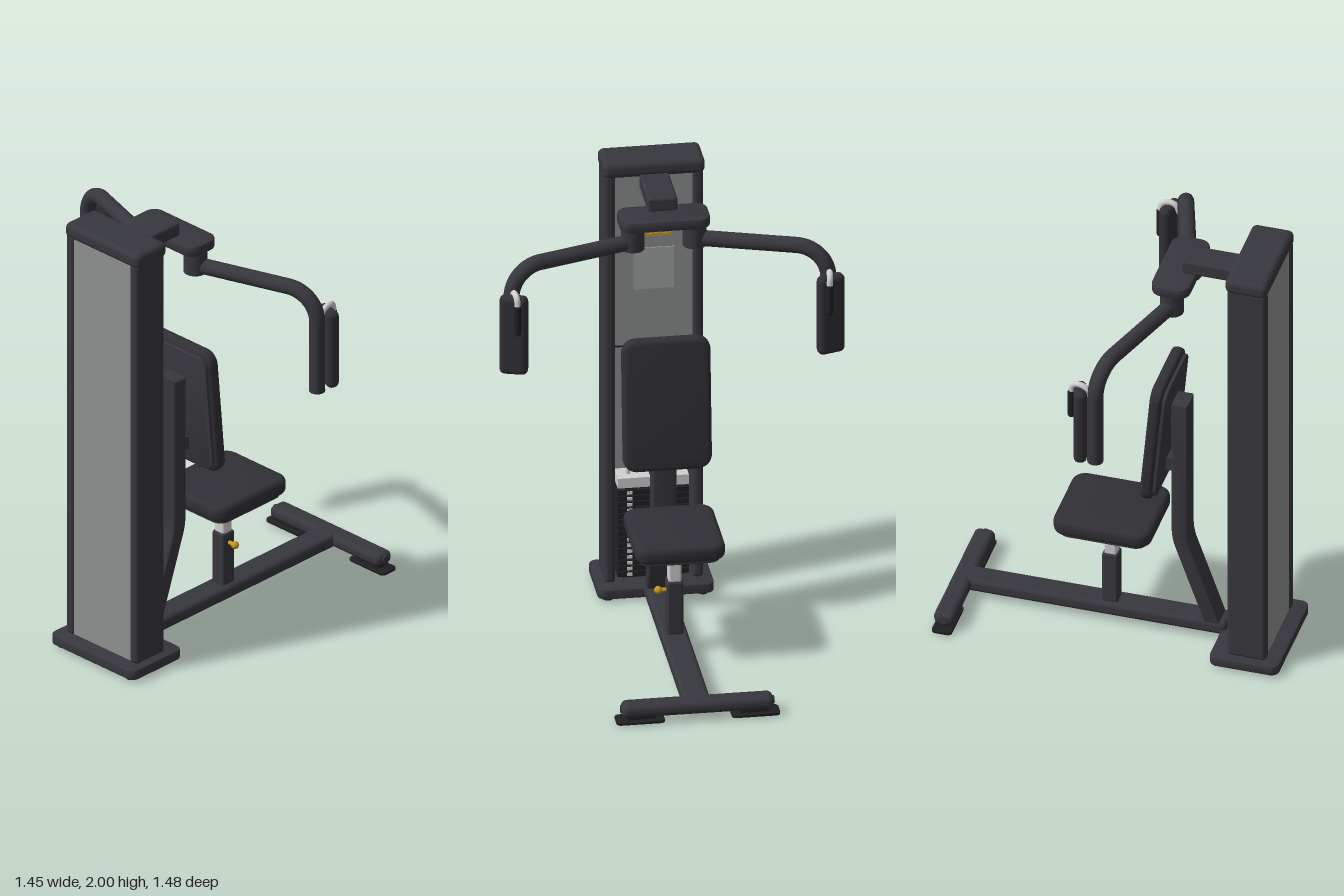
import * as THREE from 'three';
import { RoundedBoxGeometry } from 'three/addons/geometries/RoundedBoxGeometry.js';
import { toCreasedNormals } from 'three/addons/utils/BufferGeometryUtils.js';

const material = (name, color) => {
  const m = new THREE.MeshStandardMaterial({ color });
  m.name = name;
  return m;
};

export function createModel() {
  const frame = material('charcoal frame', 0x37373e);
  const pad = material('dark upholstery', 0x303036);
  const black = material('black weights and rubber', 0x202023);
  const grey = material('grey panel', 0x8f9191);
  const label = material('pale grey label', 0xa4a6a6);
  const steel = material('light steel', 0xcfd0d0);
  const gold = material('gold', 0xc79a1c);

  const model = new THREE.Group();
  model.name = 'chestFlyMachine';

  const add = (name, geo, mat, x = 0, y = 0, z = 0, parent = model) => {
    const mesh = new THREE.Mesh(geo, mat);
    mesh.name = name;
    mesh.position.set(x, y, z);
    parent.add(mesh);
    return mesh;
  };
  const box = (w, h, d) => new THREE.BoxGeometry(w, h, d);
  const round = (w, h, d, r) => new RoundedBoxGeometry(w, h, d, 4, r);
  const cyl = (r, h) => new THREE.CylinderGeometry(r, r, h, 24);

  // Cushion-like plate lying flat: rounded corners in plan, bevelled rims
  const slab = (w, h, d, r, bevel) => {
    const a = w / 2 - bevel, b = d / 2 - bevel, c = r - bevel;
    const s = new THREE.Shape();
    s.moveTo(-a + c, -b);
    s.lineTo(a - c, -b).absarc(a - c, -b + c, c, -Math.PI / 2, 0);
    s.lineTo(a, b - c).absarc(a - c, b - c, c, 0, Math.PI / 2);
    s.lineTo(-a + c, b).absarc(-a + c, b - c, c, Math.PI / 2, Math.PI);
    s.lineTo(-a, -b + c).absarc(-a + c, -b + c, c, Math.PI, Math.PI * 1.5);
    const g = new THREE.ExtrudeGeometry(s, {
      depth: h - 2 * bevel, bevelThickness: bevel, bevelSize: bevel, bevelSegments: 4, curveSegments: 6,
    });
    g.center().rotateX(-Math.PI / 2);
    return toCreasedNormals(g, 0.7);
  };

  // Tower: base, columns, cap and panels
  add('towerBase', slab(0.49, 0.045, 0.3, 0.035, 0.006), frame, 0, 0.0335, 0.59);
  for (const s of [-1, 1]) {
    add('towerColumn', round(0.046, 1.9, 0.17, 0.018), frame, s * 0.186, 1.0, 0.595);
    for (const z of [0.475, 0.705]) add('baseFoot', cyl(0.02, 0.012), black, s * 0.2, 0.006, z);
  }
  add('towerCap', round(0.43, 0.07, 0.182, 0.025), frame, 0, 1.965, 0.592);
  add('frontPanel', box(0.33, 1.89, 0.008), grey, 0, 0.995, 0.668);
  add('rearUpperPanel', box(0.33, 0.79, 0.012), grey, 0, 1.54, 0.53);
  add('panelEdge', box(0.33, 0.008, 0.014), black, 0, 1.144, 0.53);
  add('instructionPlate', box(0.17, 0.19, 0.004), label, 0, 1.5, 0.522);
  add('goldStripe', box(0.15, 0.012, 0.004), gold, 0, 1.655, 0.522);

  // Weight stack with pin holes, guide rods and selector pin
  for (let i = 0; i < 15; i++) {
    const y = 0.077 + i * 0.027;
    add('weightPlate', box(0.3, 0.022, 0.1), black, 0, y, 0.585);
    add('plateMark', box(0.022, 0.014, 0.006), steel, 0.1, y, 0.534);
  }
  add('stackCore', box(0.26, 0.42, 0.07), black, 0, 0.265, 0.585);
  add('topWeightPlate', box(0.3, 0.045, 0.1), steel, 0, 0.5, 0.585);
  for (const x of [-0.1, 0.1]) add('guideRod', cyl(0.01, 1.4), steel, x, 1.22, 0.585);
  add('stackStem', cyl(0.014, 0.07), frame, 0, 0.55, 0.565);
  add('selectorPin', cyl(0.012, 0.05), gold, 0, 0.393, 0.512).rotation.x = Math.PI / 2;

  // Floor beam, rear cross bar and its feet
  add('floorBeam', round(0.115, 0.06, 1.14, 0.02), frame, 0, 0.06, -0.11);
  add('crossBar', round(0.64, 0.06, 0.09, 0.026), frame, 0, 0.06, -0.69);
  for (const s of [-1, 1]) {
    add('crossBarFoot', slab(0.205, 0.013, 0.088, 0.02, 0.003), black, s * 0.243, 0.0115, -0.692);
    add('footSpacer', box(0.12, 0.02, 0.05), black, s * 0.24, 0.025, -0.69);
    add('barEndScrew', cyl(0.018, 0.008), frame, s * 0.32, 0.06, -0.69).rotation.z = Math.PI / 2;
  }

  // Bent upright carrying the backrest
  const side = new THREE.Shape();
  side.moveTo(0.375, 0.08);
  side.lineTo(0.245, 0.45).quadraticCurveTo(0.232, 0.49, 0.232, 0.54);
  side.lineTo(0.232, 1.175).lineTo(0.283, 1.175).lineTo(0.283, 0.54);
  side.quadraticCurveTo(0.283, 0.49, 0.295, 0.45);
  side.lineTo(0.425, 0.08);
  const upright = new THREE.ExtrudeGeometry(side, {
    depth: 0.08, bevelThickness: 0.012, bevelSize: 0.01, bevelSegments: 4,
  });
  upright.translate(0, 0, -0.04).rotateY(-Math.PI / 2);
  add('backrestUpright', toCreasedNormals(upright, 0.7), frame);

  // Backrest: cushion on a thin board
  const backrest = new THREE.Group();
  backrest.name = 'backrest';
  backrest.position.set(0, 1.04, 0.178);
  backrest.rotation.x = -Math.PI / 2 + 0.09;
  model.add(backrest);
  add('backCushion', slab(0.375, 0.055, 0.59, 0.06, 0.02), pad, 0, 0.008, 0, backrest);
  add('backBoard', slab(0.345, 0.016, 0.55, 0.05, 0.004), frame, 0, -0.026, 0, backrest);
  for (const y of [0.86, 1.11]) add('backrestBracket', box(0.08, 0.06, 0.07), frame, 0, y, 0.215);

  // Seat on a telescopic post with adjusting knob
  add('seatCushion', slab(0.38, 0.075, 0.425, 0.06, 0.025), pad, 0, 0.538, -0.05);
  add('seatBoard', slab(0.34, 0.02, 0.38, 0.05, 0.004), frame, 0, 0.498, -0.05);
  add('seatPostSleeve', round(0.07, 0.25, 0.07, 0.012), frame, 0, 0.208, -0.05);
  add('seatPost', round(0.055, 0.18, 0.055, 0.01), steel, 0, 0.405, -0.05);
  add('knobStem', cyl(0.009, 0.03), gold, 0.045, 0.285, -0.05).rotation.z = Math.PI / 2;
  add('seatKnob', new THREE.SphereGeometry(0.017, 20, 14), gold, 0.068, 0.285, -0.05);

  // Overhead beam and pivot plate
  add('overheadBeam', round(0.126, 0.065, 0.25, 0.012), frame, 0, 1.912, 0.395);
  add('pivotPlate', slab(0.38, 0.047, 0.165, 0.05, 0.008), frame, 0, 1.862, 0.25);

  // Swinging arms, mirrored left and right
  for (const s of [-1, 1]) {
    const arm = new THREE.Group();
    arm.name = s > 0 ? 'leftArm' : 'rightArm';
    model.add(arm);
    const v = (x, y, z) => new THREE.Vector3(s * x, y, z);
    add('pivot', cyl(0.05, 0.11), frame, s * 0.13, 1.787, 0.25, arm);

    const path = new THREE.CurvePath();
    const bendStart = v(0.54, 1.763, 0.116), bendEnd = v(0.668, 1.63, 0.074);
    path.add(new THREE.LineCurve3(v(0.13, 1.763, 0.25), bendStart));
    path.add(new THREE.CubicBezierCurve3(bendStart, v(0.611, 1.763, 0.093), v(0.668, 1.704, 0.074), bendEnd));
    path.add(new THREE.LineCurve3(bendEnd, v(0.668, 1.302, 0.074)));
    add('armTube', new THREE.TubeGeometry(path, 64, 0.034, 18), frame, 0, 0, 0, arm);
    add('armEndCap', cyl(0.034, 0.006), frame, s * 0.668, 1.302, 0.074, arm);

    // Forearm pad turned slightly towards the user
    const cushion = add('armPad', round(0.12, 0.36, 0.055, 0.024), pad, s * 0.668, 1.488, 0.008, arm);
    cushion.rotation.y = -s * 0.3;

    // Hooked steel handle with a dark grip
    const hook = new THREE.CatmullRomCurve3([
      v(0.667, 1.63, 0.05), v(0.666, 1.668, 0.03), v(0.664, 1.678, 0), v(0.66, 1.668, -0.025), v(0.658, 1.63, -0.034),
    ]);
    add('handleHook', new THREE.TubeGeometry(hook, 24, 0.013, 12), steel, 0, 0, 0, arm);
    add('handleGrip', new THREE.CapsuleGeometry(0.015, 0.115, 6, 16), black, s * 0.658, 1.572, -0.034, arm);
  }

  return model;
}
